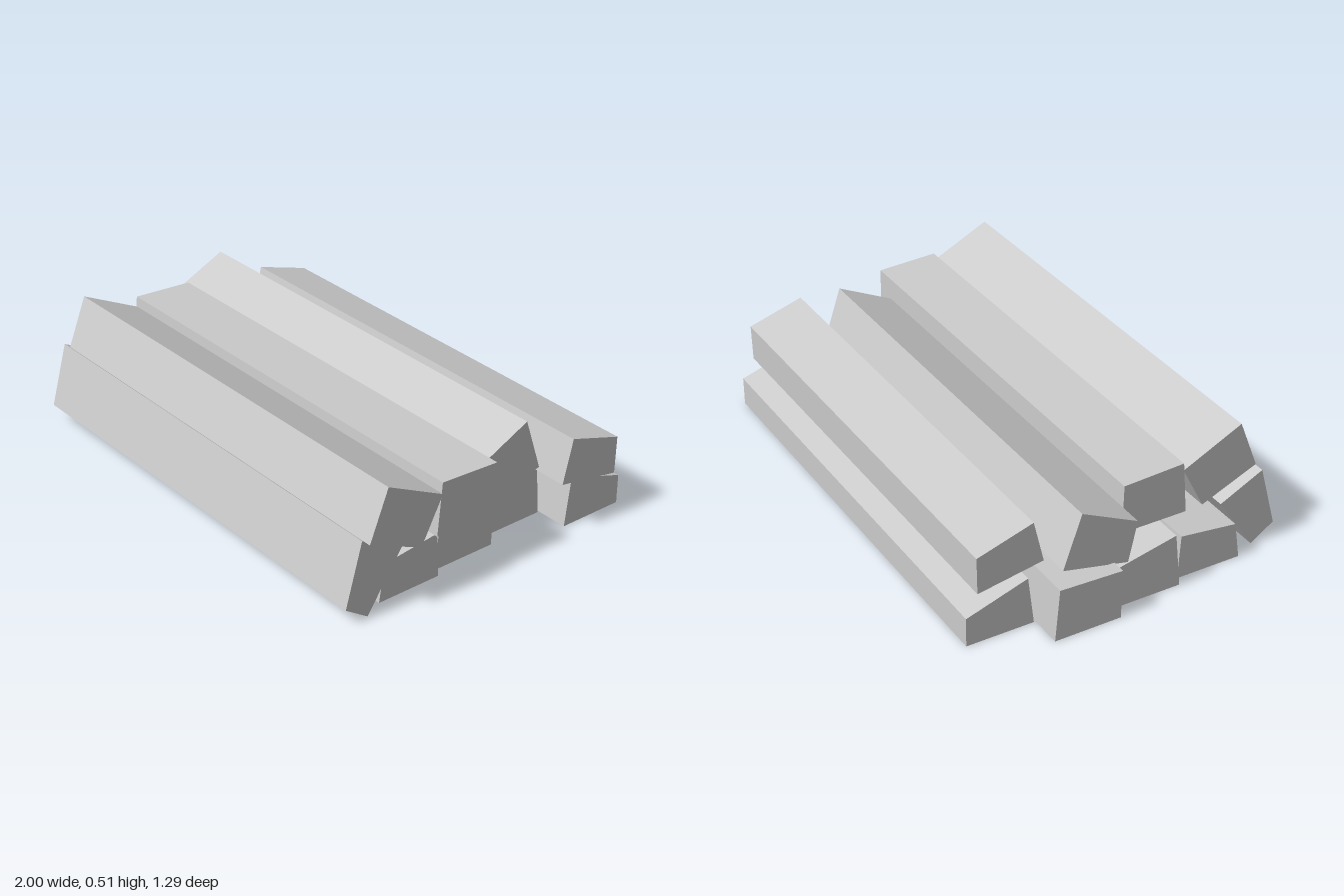
import * as THREE from 'three';

const LENGTH = 1.83;

// Each beam: name, x of its right end, cross-section corners as [z, y]
const BEAMS = [
  // bottom layer
  ['leaningFrontBeam', -0.87, [[0.58, 0.315], [0.403, 0.227], [0.552, 0.002], [0.648, 0.066]]],
  ['bottomBeam1', -0.91, [[0.468, 0], [0.445, 0.15], [0.209, 0.179], [0.199, 0]]],
  ['bottomBeam2', -0.945, [[0.185, 0], [0.161, 0.222], [-0.085, 0.168], [-0.085, 0]]],
  ['bottomBeam3', -1, [[-0.099, 0], [-0.097, 0.2], [-0.351, 0.21], [-0.368, 0]]],
  ['bottomBeam4', -0.87, [[-0.375, 0], [-0.4, 0.197], [-0.645, 0.117], [-0.645, 0]]],
  // top layer
  ['topBeam1', -0.83, [[0.503, 0.514], [0.261, 0.396], [0.351, 0.22], [0.58, 0.318]]],
  ['topBeam2', -0.84, [[0.272, 0.225], [0.254, 0.434], [0.005, 0.422], [0.002, 0.225]]],
  ['topBeam3', -0.945, [[-0.005, 0.343], [-0.234, 0.453], [-0.306, 0.241], [-0.04, 0.182]]],
  ['topBeam4', -0.83, [[-0.355, 0.39], [-0.58, 0.32], [-0.577, 0.171], [-0.313, 0.217]]],
];

export function createModel() {
  const group = new THREE.Group();
  group.name = 'beamStack';
  const material = new THREE.MeshStandardMaterial({ color: 0xcccccc, flatShading: true });

  for (const [name, start, corners] of BEAMS) {
    // Extrude the cross-section, then turn it to run along x
    const section = new THREE.Shape(corners.map(([z, y]) => new THREE.Vector2(-z, y)));
    const geometry = new THREE.ExtrudeGeometry(section, { depth: LENGTH, bevelEnabled: false });
    geometry.rotateY(Math.PI / 2);
    const beam = new THREE.Mesh(geometry, material);
    beam.name = name;
    beam.position.x = start;
    group.add(beam);
  }
  return group;
}
